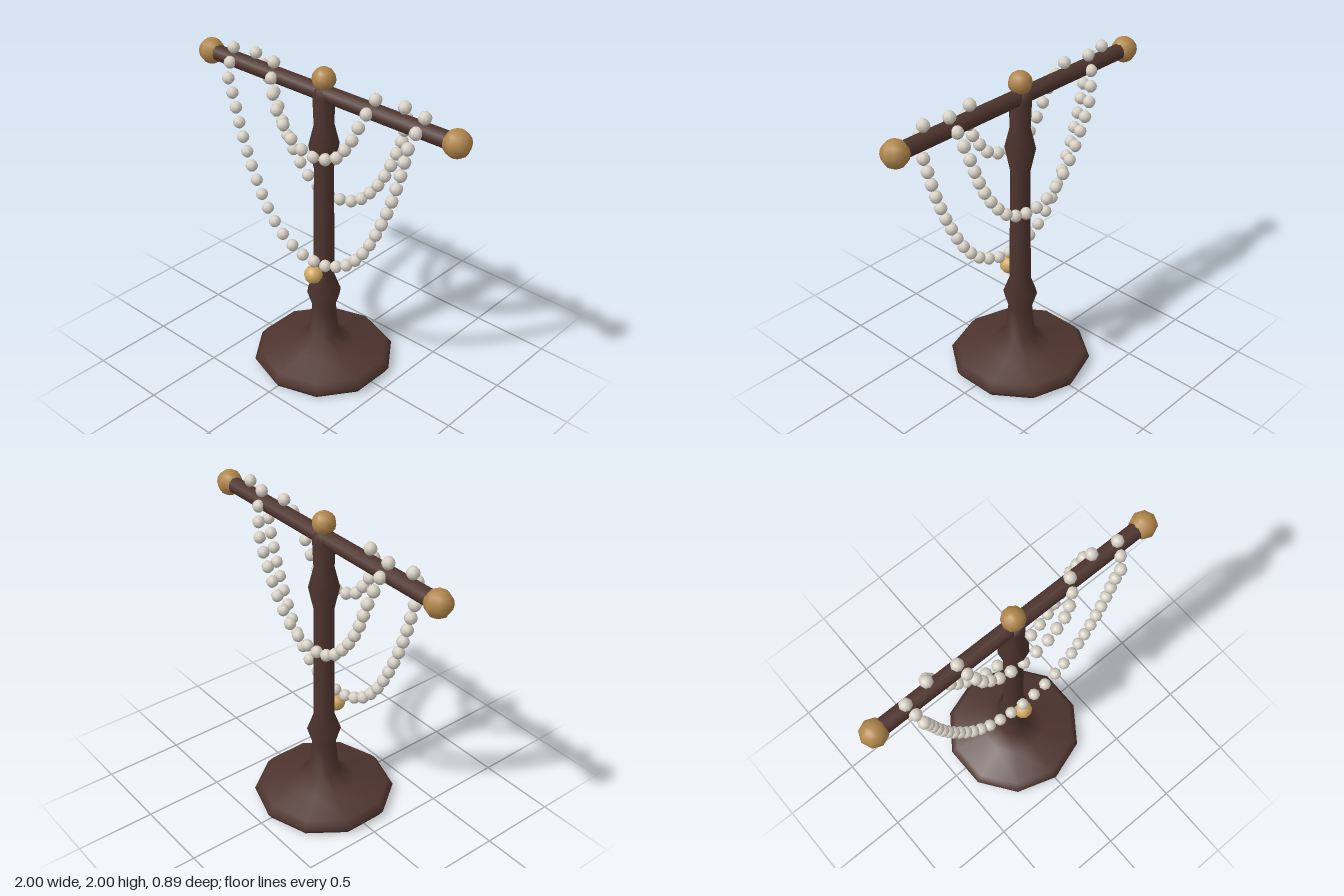
import * as THREE from 'three';

const mat = (name, color) => {
  const m = new THREE.MeshStandardMaterial({ color });
  m.name = name;
  return m;
};

export function createModel() {
  const wood = mat('dark wood', 0x4e342e);
  const brass = mat('brass', 0xb0854a);
  const gold = mat('pale gold', 0xd0a860);
  const pearl = mat('pearl', 0xd6d0c4);

  const model = new THREE.Group();
  model.name = 'necklaceStand';
  const add = (name, geometry, material, x = 0, y = 0, z = 0, parent = model) => {
    const mesh = new THREE.Mesh(geometry, material);
    mesh.name = name;
    mesh.position.set(x, y, z);
    parent.add(mesh);
    return mesh;
  };

  // Turned base and post, ten-sided
  const profile = [
    [0, 0], [0.42, 0], [0.445, 0.04], [0.405, 0.09], [0.2, 0.125], [0.095, 0.2],
    [0.075, 0.41], [0.106, 0.51], [0.066, 0.62], [0.06, 1.37], [0.092, 1.52],
    [0.06, 1.65], [0.067, 1.83], [0.05, 1.87], [0, 1.87],
  ].map(([r, y]) => new THREE.Vector2(r, y));
  add('post', new THREE.LatheGeometry(profile, 10), wood);

  // Crossbar with finials
  const bar = new THREE.CylinderGeometry(0.05, 0.05, 1.84, 10);
  bar.rotateZ(Math.PI / 2);
  add('crossbar', bar, wood, 0, 1.84, 0);
  const knob = new THREE.SphereGeometry(0.08, 8, 8);
  for (const side of [-1, 1]) add(side > 0 ? 'leftFinial' : 'rightFinial', knob, brass, side * 0.92, 1.84, 0);
  add('topFinial', new THREE.SphereGeometry(0.07, 10, 8), brass, 0, 1.925, 0);

  // Draped strands: half paths from the bar to the lowest bead, mirrored across x
  const bead = new THREE.SphereGeometry(0.038, 8, 6);
  const strands = [
    ['longStrand', 33, [
      [0.715, 1.92, 0.01], [0.695, 1.83, 0.067], [0.675, 1.745, 0.1], [0.652, 1.66, 0.09],
      [0.605, 1.484, 0.09], [0.545, 1.308, 0.09], [0.47, 1.14, 0.09], [0.38, 0.981, 0.09],
      [0.257, 0.848, 0.09], [0.091, 0.77, 0.09], [0, 0.763, 0.09]]],
    ['backStrand', 24, [
      [0.558, 1.92, -0.02], [0.54, 1.835, -0.06], [0.515, 1.75, -0.08], [0.488, 1.666, -0.095],
      [0.422, 1.5, -0.09], [0.337, 1.345, -0.09], [0.214, 1.206, -0.09], [0.134, 1.158, -0.09],
      [0, 1.133, -0.09]]],
    ['shortStrand', 15, [
      [0.381, 1.92, 0.01], [0.358, 1.842, 0.055], [0.326, 1.762, 0.08], [0.289, 1.676, 0.09],
      [0.235, 1.596, 0.09], [0.174, 1.527, 0.09], [0.091, 1.487, 0.09], [0, 1.473, 0.09]]],
  ];
  for (const [name, count, half] of strands) {
    const mirrored = half.slice(0, -1).reverse().map(([x, y, z]) => [-x, y, z]);
    const curve = new THREE.CatmullRomCurve3([...half, ...mirrored].map((p) => new THREE.Vector3(...p)));
    const strand = new THREE.Group();
    strand.name = name;
    model.add(strand);
    curve.getSpacedPoints(count - 1).forEach((p) => add('bead', bead, pearl, p.x, p.y, p.z, strand));
  }

  // Pendant bead under the long strand
  add('pendant', new THREE.SphereGeometry(0.058, 10, 8), gold, 0, 0.67, 0.095);

  return model;
}
